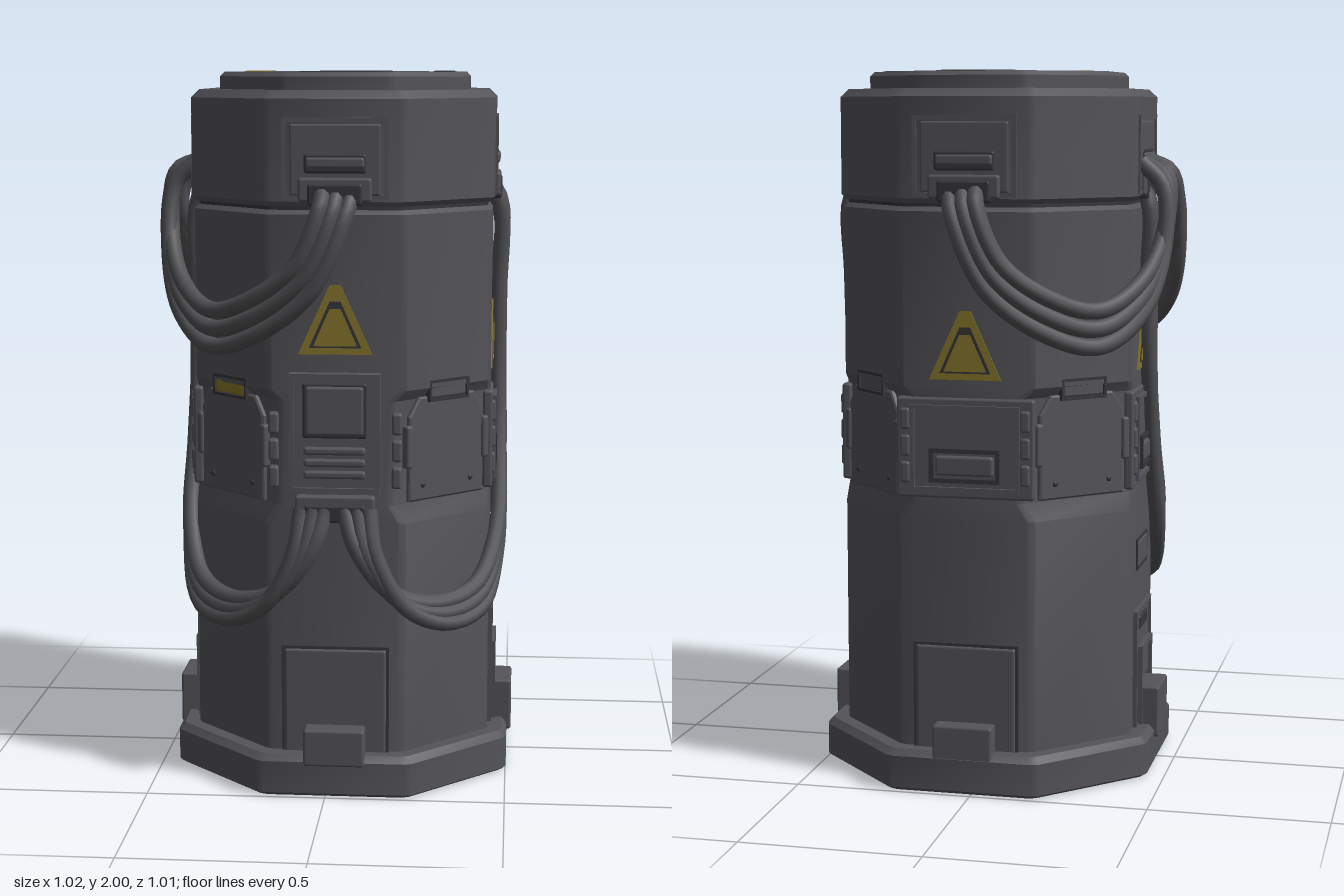
import * as THREE from 'three';
import { toCreasedNormals } from 'three/addons/utils/BufferGeometryUtils.js';
import { RoundedBoxGeometry } from 'three/addons/geometries/RoundedBoxGeometry.js';

const CX = 0.025, ZS = 1.03;

// Octagon outline with bevelled corners: h = distance to a main face, w = half its width
function octagon(h, w, bevel = 0.012) {
  let corners = [];
  let pair = [[-w, h], [w, h]];
  for (let k = 0; k < 4; k++) {
    corners.push(...pair);
    pair = pair.map(([x, z]) => [z, -x]);
  }
  const out = [];
  corners.forEach((c, i) => {
    for (const n of [corners[(i + 7) % 8], corners[(i + 1) % 8]]) {
      const t = bevel / Math.hypot(n[0] - c[0], n[1] - c[1]);
      out.push([c[0] + (n[0] - c[0]) * t, c[1] + (n[1] - c[1]) * t]);
    }
  });
  return out;
}

// Closed solid through octagon rings given as [y, h, w]
function loft(profile) {
  const pos = [], idx = [], n = 16;
  for (const [y, h, w] of profile)
    for (const [x, z] of octagon(h, w)) pos.push(x + CX, y, z * ZS);
  const last = (profile.length - 1) * n;
  for (let r = 0; r < last; r += n)
    for (let i = 0; i < n; i++) {
      const a = r + i, b = r + (i + 1) % n;
      idx.push(a, b, b + n, a, b + n, a + n);
    }
  for (let i = 1; i < n - 1; i++) {
    idx.push(0, i + 1, i);
    idx.push(last, last + i, last + i + 1);
  }
  const g = new THREE.BufferGeometry();
  g.setAttribute('position', new THREE.Float32BufferAttribute(pos, 3));
  g.setIndex(idx);
  return toCreasedNormals(g, 0.45);
}

export function createModel() {
  const mat = (name, color) => {
    const m = new THREE.MeshStandardMaterial({ color });
    m.name = name;
    return m;
  };
  const metal = mat('dark grey metal', 0x545358);
  const rubber = mat('grey cable', 0x515053);
  const dark = mat('dark recess', 0x36353a);
  const yellow = mat('worn yellow', 0x86762c);
  const root = new THREE.Group();
  root.name = 'octagonalContainer';
  const add = (parent, name, geo, m) => {
    const mesh = new THREE.Mesh(geo, m);
    mesh.name = name;
    parent.add(mesh);
    return mesh;
  };

  // Main solids, stacked from the floor up
  add(root, 'base', loft([[0, 0.465, 0.2], [0.01, 0.477, 0.21], [0.1, 0.477, 0.21], [0.118, 0.462, 0.2]]), metal);
  add(root, 'body', loft([[0.1, 0.42, 0.187], [0.77, 0.42, 0.187], [0.82, 0.42, 0.155], [1.11, 0.42, 0.155],
    [1.14, 0.42, 0.187], [1.62, 0.42, 0.187], [1.632, 0.408, 0.18]]), metal);
  add(root, 'seam', loft([[1.62, 0.408, 0.178], [1.66, 0.408, 0.178]]), dark);
  add(root, 'cap', loft([[1.642, 0.415, 0.182], [1.655, 0.427, 0.187], [1.93, 0.427, 0.187], [1.952, 0.405, 0.178]]), metal);
  add(root, 'lid', loft([[1.94, 0.35, 0.15], [1.988, 0.35, 0.15], [2, 0.338, 0.145]]), metal);

  // Face-local helpers: u runs right, y up, z out of the face
  const face = (name, angle, dist) => {
    const holder = new THREE.Group(), g = new THREE.Group();
    holder.name = name;
    holder.position.x = CX;
    holder.rotation.y = angle;
    g.position.z = dist;
    holder.add(g);
    root.add(holder);
    return g;
  };
  const plate = (g, name, u0, u1, y0, y1, out, m = metal) => {
    const d = out + 0.02;
    const geo = new RoundedBoxGeometry(u1 - u0, y1 - y0, d, 2, Math.min(0.008, d / 3));
    add(g, name, geo, m).position.set((u0 + u1) / 2, (y0 + y1) / 2, out - d / 2);
  };
  const rim = (g, name, u0, u1, y0, y1, out, t, m = metal) => {
    const box = (C, a, b, c, d) => {
      const s = new C();
      s.moveTo(a, c); s.lineTo(b, c); s.lineTo(b, d); s.lineTo(a, d); s.closePath();
      return s;
    };
    const s = box(THREE.Shape, u0, u1, y0, y1);
    s.holes.push(box(THREE.Path, u0 + t, u1 - t, y0 + t, y1 - t));
    add(g, name, new THREE.ExtrudeGeometry(s, { depth: out + 0.005, bevelEnabled: false }), m).position.z = -0.005;
  };
  const triangle = (g, name, half, y0, y1, out, m) => {
    const s = new THREE.Shape();
    s.moveTo(-half, y0); s.lineTo(half, y0); s.lineTo(0.015, y1); s.lineTo(-0.015, y1);
    add(g, name, new THREE.ExtrudeGeometry(s, { depth: out + 0.002, bevelEnabled: false }), m).position.z = -0.002;
  };

  // Four main faces
  ['front', 'left', 'back', 'right'].forEach((side, i) => {
    const onSide = i % 2 === 1, front = i === 0;
    const g = face(side + 'Face', i * Math.PI / 2, onSide ? 0.42 : 0.42 * ZS);

    // Cable socket on the cap
    rim(g, 'socketFrame', -0.145, 0.145, 1.66, 1.88, 0.013, 0.012);
    plate(g, 'socketPlate', -0.125, 0.125, 1.67, 1.865, 0.01);
    plate(g, 'socketSlot', -0.085, 0.085, 1.73, 1.785, 0.014, dark);
    plate(g, 'socketLip', -0.08, 0.08, 1.745, 1.775, 0.02);
    plate(g, 'socketRim', -0.1, 0.1, 1.655, 1.72, 0.022);
    plate(g, 'socketHole', -0.075, 0.075, 1.645, 1.705, 0.026, dark);

    // Warning triangle
    const ty = front ? 1.24 : 1.16;
    triangle(g, 'warningTriangle', 0.102, ty, ty + 0.19, 0.004, yellow);
    triangle(g, 'warningOutline', 0.072, ty + 0.018, ty + 0.145, 0.006, dark);
    triangle(g, 'warningCentre', 0.06, ty + 0.023, ty + 0.125, 0.008, yellow);

    // Middle equipment
    if (front) {
      plate(g, 'controlPanel', -0.125, 0.125, 0.86, 1.19, 0.025);
      rim(g, 'controlFrame', -0.125, 0.125, 0.86, 1.19, 0.036, 0.014);
      plate(g, 'screenRecess', -0.09, 0.09, 1.01, 1.165, 0.028, dark);
      plate(g, 'screen', -0.08, 0.08, 1.02, 1.155, 0.036);
      for (let k = 0; k < 3; k++) plate(g, 'slat', -0.085, 0.085, 0.9 + k * 0.033, 0.922 + k * 0.033, 0.038);
      plate(g, 'cableOutlet', -0.11, 0.11, 0.78, 0.85, 0.025);
      plate(g, 'cableOutletHole', -0.085, 0.085, 0.775, 0.825, 0.028, dark);
    } else {
      plate(g, 'servicePanel', -0.195, 0.195, 0.83, 1.11, 0.008);
      rim(g, 'serviceFrame', -0.155, 0.155, 0.85, 1.09, 0.018, 0.012);
      rim(g, 'serviceBoxRim', -0.1, 0.1, 0.875, 0.97, 0.02, 0.012, dark);
      plate(g, 'serviceBox', -0.082, 0.082, 0.895, 0.95, 0.022);
    }
    for (const s of [-1, 1])
      for (let k = 0; k < 3; k++)
        plate(g, 'clamp', s * 0.17 - 0.014, s * 0.17 + 0.014, 0.87 + k * 0.075, 0.93 + k * 0.075, 0.016);

    // Lower hatch and latch
    if (onSide) {
      rim(g, 'labelRim', -0.085, 0.085, 0.575, 0.665, 0.005, 0.006, dark);
      plate(g, 'labelPlate', -0.079, 0.079, 0.581, 0.659, 0.006);
      rim(g, 'lowerHatchFrame', -0.125, 0.125, 0.11, 0.46, 0.012, 0.012);
      plate(g, 'lowerHatch', -0.112, 0.112, 0.11, 0.447, 0.006);
      plate(g, 'hatchSlot', -0.06, 0.06, 0.395, 0.435, 0.012, dark);
      rim(g, 'hatchBay', -0.09, 0.09, 0.11, 0.35, 0.022, 0.016);
      plate(g, 'hatchBayDoor', -0.07, 0.07, 0.24, 0.33, 0.014);
      plate(g, 'latch', -0.08, 0.08, 0.08, 0.23, 0.07);
    } else {
      rim(g, 'lowerHatchRim', -0.15, 0.15, 0.11, 0.42, 0.008, 0.008, dark);
      plate(g, 'lowerHatch', -0.142, 0.142, 0.11, 0.412, 0.01);
      plate(g, 'latch', -0.085, 0.085, 0.09, 0.195, front ? 0.068 : 0.058);
    }
  });

  // Four diagonal faces with bolted plates and a slot
  for (let i = 0; i < 4; i++) {
    const g = face('diagonalFace', Math.PI / 4 + i * Math.PI / 2, 0.413);
    const s = new THREE.Shape([[-0.135, 0.83], [0.135, 0.83], [0.135, 1.06], [0.1, 1.11], [-0.1, 1.11], [-0.135, 1.06]]
      .map(p => new THREE.Vector2(...p)));
    add(g, 'diagonalPlate', new THREE.ExtrudeGeometry(s, { depth: 0.018, bevelSize: 0.005, bevelThickness: 0.004, bevelSegments: 1 }), metal)
      .position.z = -0.007;
    for (const u of [-0.09, 0.09]) {
      plate(g, 'bolt', u - 0.009, u + 0.009, 0.86, 0.878, 0.02, dark);
      plate(g, 'sideClip', u * 1.6 - 0.012, u * 1.6 + 0.012, 0.92, 1.04, 0.024);
    }
    rim(g, 'slotRim', -0.075, 0.075, 1.1, 1.16, 0.024, 0.008, dark);
    plate(g, 'slotPlate', -0.067, 0.067, 1.108, 1.152, 0.022, i === 3 ? yellow : metal);
  }

  // Inlaid slots on the lid
  [[0.028, -0.288, 0.215, 0.055, metal], [0.028, 0.29, 0.215, 0.055, metal],
    [0.302, -0.018, 0.052, 0.255, metal], [-0.228, -0.013, 0.066, 0.215, yellow]].forEach(([x, z, w, d, m]) => {
    add(root, 'lidSlotEdge', new THREE.BoxGeometry(w + 0.008, 0.004, d + 0.008), m === yellow ? metal : dark).position.set(x, 1.999, z);
    add(root, 'lidSlot', new THREE.BoxGeometry(w, 0.006, d), m).position.set(x, 1.9995, z);
  });

  // Cable bundles: each strand is offset along one axis at the ends and downwards in the middle
  const bundle = (name, pts, startAxis, endAxis, sag) => {
    for (let k = -1; k <= 1; k++) {
      const path = pts.map((p, i) => {
        const t = i / (pts.length - 1);
        return new THREE.Vector3(...p)
          .addScaledVector(startAxis, k * 0.042 * Math.max(0, 1 - 2 * t))
          .addScaledVector(endAxis, k * 0.042 * Math.max(0, 2 * t - 1))
          .add(new THREE.Vector3(0, -k * sag * Math.sin(Math.PI * t), 0));
      });
      add(root, name, new THREE.TubeGeometry(new THREE.CatmullRomCurve3(path), 56, 0.024, 10), rubber);
    }
  };
  const X = new THREE.Vector3(1, 0, 0), Z = new THREE.Vector3(0, 0, 1);

  // Upper loops run from the front and back caps to the right cap
  for (const s of [1, -1])
    bundle('upperCable', [[0.03, 1.69, 0.42 * s], [0.02, 1.63, 0.468 * s], [-0.06, 1.45, 0.475 * s], [-0.2, 1.34, 0.43 * s],
      [-0.33, 1.3, 0.345 * s], [-0.43, 1.38, 0.23 * s], [-0.475, 1.54, 0.12 * s], [-0.465, 1.7, 0.07 * s], [-0.4, 1.75, 0.06 * s]],
    X, Z.clone().multiplyScalar(s * 0.9), 0.05);

  // Long loops drop from the side caps to the front outlet
  for (const s of [1, -1]) {
    const f = x => CX + s * (x - CX);
    bundle('lowerCable', [[0.43, 1.7, -0.01], [0.468, 1.62, -0.025], [0.466, 1.4, -0.025], [0.466, 1.15, -0.01], [0.47, 0.9, 0.05],
      [0.468, 0.68, 0.16], [0.42, 0.54, 0.29], [0.32, 0.51, 0.385], [0.2, 0.56, 0.45], [0.11, 0.7, 0.468], [0.085, 0.81, 0.44]]
      .map(([x, y, z]) => [f(x), y, z]), Z.clone().multiplyScalar(0.6), X.clone().multiplyScalar(s * 0.8), 0.035);
  }
  return root;
}
